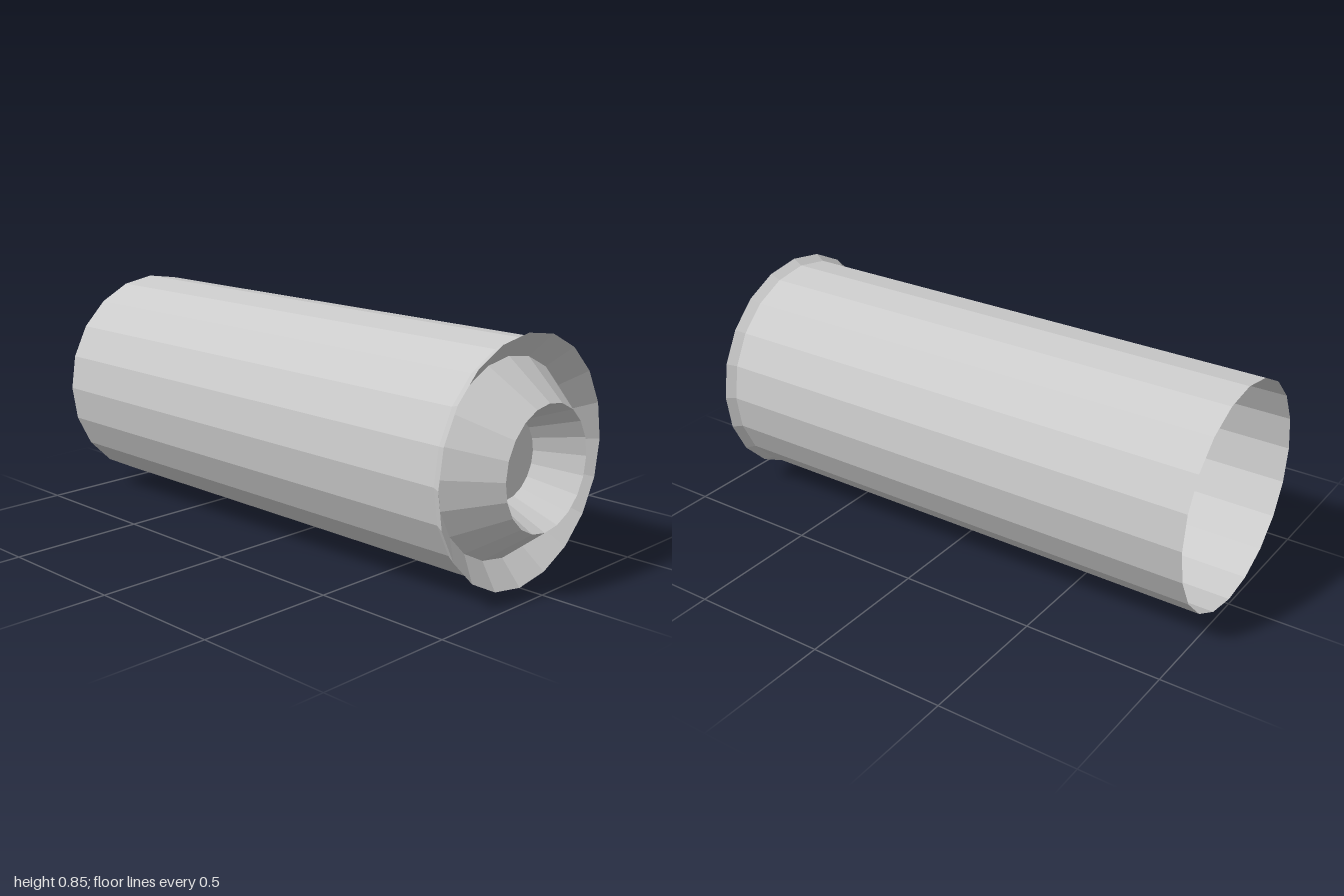
import * as THREE from 'three';

const SIDES = 20;
const AXIS_HEIGHT = 0.425;

const material = new THREE.MeshStandardMaterial({
  color: 0xcccccc, flatShading: true, side: THREE.DoubleSide,
});

// Turns a profile of [radius, z] pairs around the z axis.
function turned(name, profile) {
  const points = profile.map(([r, z]) => new THREE.Vector2(r, z));
  const geometry = new THREE.LatheGeometry(points, SIDES);
  geometry.rotateX(Math.PI / 2);
  const mesh = new THREE.Mesh(geometry, material);
  mesh.name = name;
  mesh.position.y = AXIS_HEIGHT;
  return mesh;
}

export function createModel() {
  const group = new THREE.Group();
  group.name = 'flaredTube';

  group.add(
    // Long tube, open at the back
    turned('tube', [[0.405, -1], [0.405, 0.875]]),
    // Flared lip, then the bevel sloping in to the groove
    turned('flaredRim', [[0.405, 0.875], [0.425, 0.91], [0.34, 0.835]]),
    // Raised cone in the middle of the front
    turned('nozzle', [[0.34, 0.835], [0.213, 1]]),
    // Recess inside the cone with a flat floor
    turned('nozzleCup', [[0.213, 1], [0.143, 0.838], [0, 0.838]]),
  );
  return group;
}
